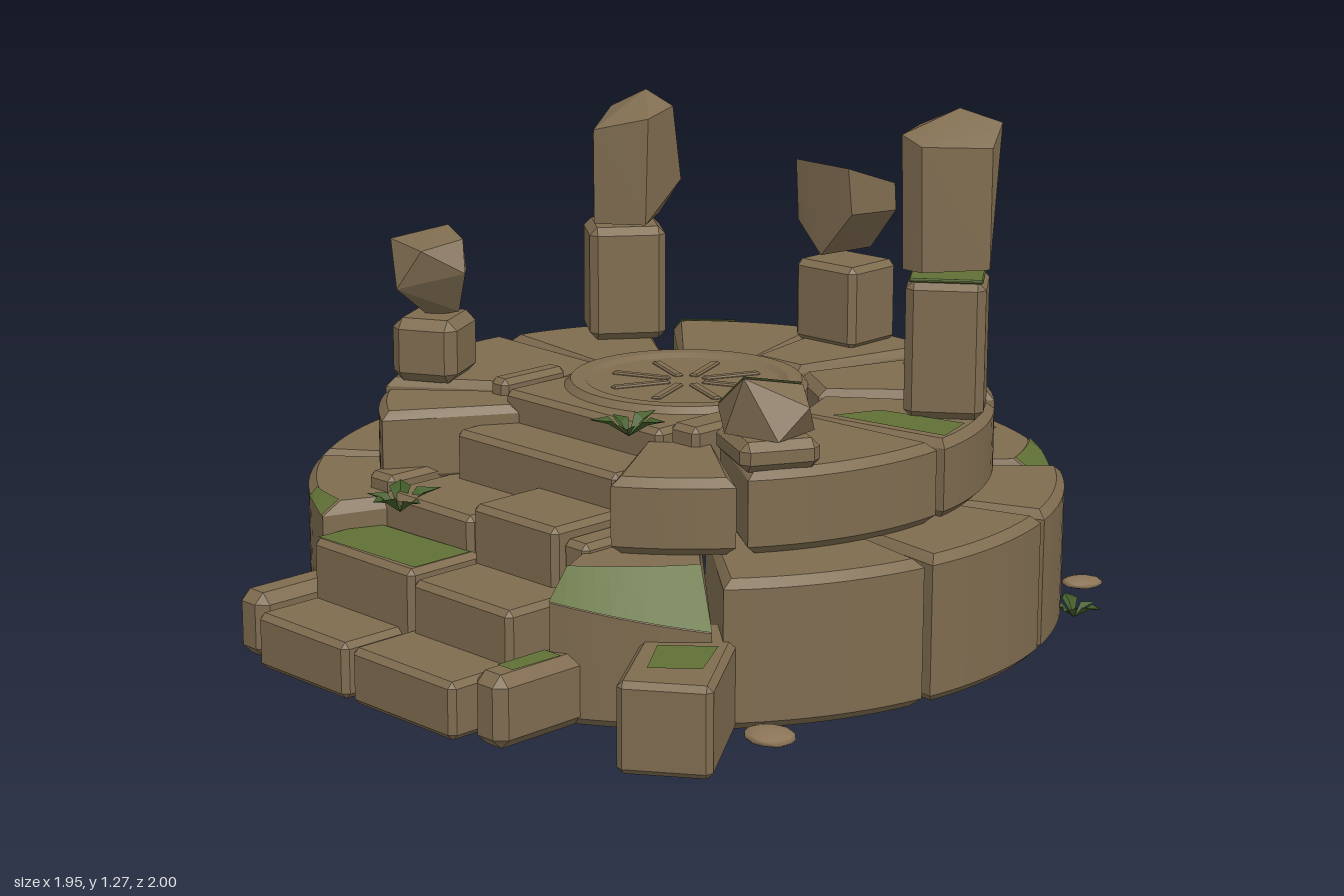
import * as THREE from 'three';
import { toCreasedNormals } from 'three/addons/utils/BufferGeometryUtils.js';
import { ConvexGeometry } from 'three/addons/geometries/ConvexGeometry.js';

const CX = 0.04, CZ = -0.07; // centre of the round platform
const material = (name, color, side = THREE.FrontSide) => {
  const m = new THREE.MeshStandardMaterial({ color, side });
  m.name = name;
  return m;
};
const V = (x, y, z) => new THREE.Vector3(x, y, z);
const polar = (deg, r, y) => {
  const a = THREE.MathUtils.degToRad(deg);
  return V(CX + r * Math.cos(a), y, CZ - r * Math.sin(a));
};

export function createModel() {
  const root = new THREE.Group();
  root.name = 'ruinedStonePlatform';
  const stone = material('stone', 0x7f6c50);
  const pebbleStone = material('pebbleStone', 0x8c7557);
  const moss = material('moss', 0x607036, THREE.DoubleSide);
  const leaf = material('leaf', 0x445e2b, THREE.DoubleSide);

  const add = (name, geo, mat = stone, parent = root) => {
    const m = new THREE.Mesh(geo, mat);
    m.name = name;
    parent.add(m);
    return m;
  };
  const hull = (pts) => toCreasedNormals(new ConvexGeometry(pts), 0.3);
  const rock = (name, pts) => add(name, hull(pts.map((p) => V(...p))));

  // Box with chamfered edges, resting on y
  const box = (name, x, y, z, w, h, d, rot = 0, b = 0.014, mat = stone) => {
    const pts = [];
    for (const i of [-1, 1]) for (const j of [-1, 1]) for (const k of [-1, 1]) {
      const X = i * w / 2, Y = j * h / 2, Z = k * d / 2;
      pts.push(V(X, Y - j * b, Z - k * b), V(X - i * b, Y, Z - k * b), V(X - i * b, Y - j * b, Z));
    }
    const m = add(name, hull(pts), mat);
    m.position.set(x, y + h / 2, z);
    m.rotation.y = THREE.MathUtils.degToRad(rot);
  };

  // Box given by its limits
  const span = (name, x0, x1, y0, y1, z0, z1, b = 0.014) =>
    box(name, (x0 + x1) / 2, y0, (z0 + z1) / 2, x1 - x0, y1 - y0, z1 - z0, 0, b);

  // Thin moss sheet between two edges with the same number of points
  const sheet = (name, a, b) => {
    const pts = [];
    for (let i = 0; i < a.length - 1; i++) pts.push(a[i], b[i], b[i + 1], a[i], b[i + 1], a[i + 1]);
    const g = new THREE.BufferGeometry().setFromPoints(pts);
    g.computeVertexNormals();
    add(name, g, moss);
  };
  const patch = (name, p, q, r, s) => sheet(name, [V(...p), V(...q)], [V(...s), V(...r)]);

  // Ring block; cut = [start, end, depth at start, depth at end, radial, drop] is a mossy chamfer
  const wedge = (name, a0, a1, r0, r1, y0, y1, cut) => {
    const b = 0.02, n = 10, pts = [], top = [], low = [];
    for (let i = 0; i <= n; i++) {
      const t = i / n, a = a0 + (a1 - a0) * t;
      const ia = a + (0.5 - t) * 2 * (b / r1) * 57.3;
      let f = 0;
      if (cut && a >= cut[0] - 0.01 && a <= cut[1] + 0.01) {
        f = THREE.MathUtils.lerp(cut[2], cut[3], (a - cut[0]) / (cut[1] - cut[0]));
      }
      const rt = Math.min(r1 - b, r1 - f * (cut ? cut[4] : 0));
      const yl = Math.min(y1 - b, y1 - f * (cut ? cut[5] : 0));
      pts.push(polar(a, r0, y0 + b), polar(a, r1, y0 + b), polar(ia, r0 + b, y0), polar(ia, r1 - b, y0));
      pts.push(polar(a, r0, y1 - b), polar(a, r1, yl), polar(ia, r0 + b, y1), polar(ia, rt, y1));
      if (f > 0) {
        top.push(polar(ia, rt + 0.004, y1 + 0.004));
        low.push(polar(a, r1 + 0.004, yl + 0.004));
      }
    }
    add(name, hull(pts));
    if (cut) sheet(name + 'Moss', top, low);
  };

  // Lower ring
  [
    [76.5, 103.5, [76.5, 103.5, 1, 1, 0.07, 0.08]], [105.5, 132], [134, 161.5], [163, 189], [190.5, 217],
    [218.5, 247, [238, 247, 0.3, 1, 0.05, 0.03]], [48.5, 75, [48.5, 62, 1, 0.1, 0.11, 0.09]], [20, 46.5],
    [-8.5, 18.5], [-40, -10], [-64, -41.5, [-64, -41.5, 0.55, 1, 0.12, 0.12]],
  ].forEach(([a, b, cut]) => wedge('lowerRingBlock', a, b, 0.51, a === 76.5 ? 0.917 : 0.93, 0, 0.35, cut));

  // Upper ring
  [
    [76.5, 103.5, 0.56], [106, 137.5, 0.545, [122, 137.5, 0.2, 1, 0.025, 0.03]], [143, 173, 0.54], [175.5, 217.5, 0.545],
    [219.5, 239, 0.53], [41.5, 73.5, 0.55], [7.5, 38.5, 0.54], [-34.5, 5, 0.545], [-58, -36.5, 0.53],
  ].forEach(([a, b, y, cut]) => wedge('upperRingBlock', a, b, a > 217 || a < -35 ? 0.42 : 0.325, 0.755, 0.35, y, cut));

  // Central round plate with rim and spokes
  const profile = [[0, 0.42], [0.28, 0.42], [0.3, 0.44], [0.3, 0.56], [0.285, 0.576], [0.25, 0.576], [0.235, 0.566],
    [0, 0.566]].map(([x, y]) => new THREE.Vector2(x, y));
  add('centrePlate', toCreasedNormals(new THREE.LatheGeometry(profile, 48), 0.4)).position.set(CX, 0, CZ);
  for (let i = 0; i < 8; i++) {
    const a = 22.5 + i * 45, p = polar(a, 0.12, 0.562);
    box('plateSpoke', p.x, p.y, p.z, 0.15, 0.01, 0.024, a, 0.004);
  }

  // Stairs, each row running in under the next
  [
    [-0.31, 0.015, 0, 0.135, 0.7, 1], [0.035, 0.385, 0, 0.135, 0.7, 1],
    [-0.31, 0.05, 0.1, 0.28, 0.54, 0.83], [0.05, 0.385, 0.1, 0.26, 0.54, 0.83],
    [-0.28, 0.04, 0.21, 0.365, 0.34, 0.64], [0.045, 0.33, 0.21, 0.4, 0.34, 0.64],
    [-0.24, 0.32, 0.3, 0.485, 0.14, 0.44], [-0.23, 0.31, 0.38, 0.56, 0.03, 0.29],
  ].forEach((s) => span('stairBlock', ...s));
  patch('stairMoss', [-0.3, 0.283, 0.65], [0.04, 0.283, 0.64], [0.04, 0.283, 0.81], [-0.3, 0.283, 0.82]);

  // Curb stones beside the stairs
  span('curbStone', -0.43, -0.33, 0, 0.16, 0.7, 0.97, 0.025);
  span('curbStone', 0.41, 0.51, 0, 0.17, 0.7, 0.97, 0.025);
  patch('curbMoss', [0.435, 0.173, 0.77], [0.49, 0.173, 0.77], [0.485, 0.173, 0.91], [0.435, 0.173, 0.91]);
  span('curbStone', -0.32, -0.26, 0.4, 0.57, 0.05, 0.26);
  span('curbStone', 0.31, 0.4, 0.4, 0.575, 0.04, 0.26);
  span('curbStone', -0.37, -0.28, 0.2, 0.39, 0.38, 0.61);
  span('curbStone', 0.32, 0.4, 0.2, 0.37, 0.38, 0.61);

  // Fallen slab at the front corner
  box('fallenSlab', 0.735, 0, 0.64, 0.21, 0.21, 0.43, 35);
  patch('slabMoss', [0.67, 0.213, 0.65], [0.77, 0.213, 0.56], [0.85, 0.213, 0.69], [0.76, 0.213, 0.77]);

  // Back right pillar, the tallest
  box('pillarBase', 0.605, 0.54, -0.385, 0.19, 0.335, 0.2, 37, 0.02);
  box('pillarMoss', 0.605, 0.872, -0.385, 0.175, 0.0095, 0.185, 37, 0.003, moss);
  rock('pillarTop', [
    [0.48, 0.9, -0.4], [0.58, 0.9, -0.51], [0.72, 0.9, -0.4], [0.63, 0.9, -0.26], [0.47, 1.12, -0.39],
    [0.53, 1.23, -0.36], [0.6, 1.27, -0.42], [0.69, 1.24, -0.47], [0.58, 1.2, -0.51], [0.72, 1.19, -0.4],
    [0.63, 1.2, -0.25], [0.57, 0.9, -0.26], [0.56, 1.22, -0.26],
  ]);
  patch('upperRingMoss', [0.51, 0.546, -0.26], [0.73, 0.546, -0.31], [0.77, 0.546, -0.19], [0.46, 0.546, -0.14]);

  // Back left pillar
  box('pillarBase', -0.51, 0.54, -0.39, 0.18, 0.3, 0.2, -37, 0.02);
  rock('pillarTop', [
    [-0.62, 0.86, -0.41], [-0.51, 0.85, -0.28], [-0.4, 0.85, -0.36], [-0.5, 0.85, -0.51], [-0.64, 1.0, -0.4],
    [-0.57, 1.14, -0.4], [-0.48, 1.19, -0.44], [-0.41, 1.15, -0.47], [-0.39, 1.13, -0.36], [-0.5, 1.1, -0.27],
    [-0.63, 1.06, -0.39], [-0.42, 0.95, -0.51],
  ]);

  // Back pillar with a broken floating top
  box('pillarBase', -0.01, 0.555, -0.705, 0.2, 0.215, 0.18, 2, 0.016);
  rock('pillarTop', [
    [-0.11, 1.03, -0.62], [0.08, 1.03, -0.61], [0.08, 0.97, -0.79], [-0.1, 0.98, -0.79], [0.085, 0.91, -0.62],
    [-0.11, 0.87, -0.63], [-0.02, 0.79, -0.62], [-0.05, 0.8, -0.79], [0.0, 0.79, -0.79], [0.085, 0.9, -0.79],
  ]);

  // Front left pillar
  box('pillarBase', -0.51, 0.54, 0.27, 0.17, 0.16, 0.18, 28, 0.025);
  rock('pillarTop', [
    [-0.53, 0.69, 0.27], [-0.45, 0.71, 0.24], [-0.62, 0.8, 0.27], [-0.51, 0.78, 0.39], [-0.39, 0.82, 0.27],
    [-0.5, 0.8, 0.17], [-0.59, 0.89, 0.34], [-0.51, 0.92, 0.22], [-0.42, 0.9, 0.25], [-0.45, 0.88, 0.36],
  ]);

  // Front right stump with a loose rock, mossy on its sloping back
  box('pillarBase', 0.61, 0.54, 0.24, 0.21, 0.07, 0.19, -28, 0.02);
  rock('looseRock', [
    [0.5, 0.61, 0.22], [0.56, 0.61, 0.33], [0.7, 0.61, 0.3], [0.68, 0.61, 0.16], [0.56, 0.61, 0.15],
    [0.49, 0.655, 0.28], [0.61, 0.745, 0.32], [0.67, 0.72, 0.19], [0.55, 0.63, 0.15], [0.72, 0.68, 0.22],
  ]);
  patch('rockMoss', [0.49, 0.66, 0.28], [0.61, 0.75, 0.32], [0.67, 0.725, 0.19], [0.55, 0.635, 0.15]);

  // Low rubble on the upper ring
  rock('rubble', [[0.25, 0.545, -0.63], [0.34, 0.545, -0.57], [0.44, 0.545, -0.64], [0.36, 0.545, -0.73],
    [0.33, 0.63, -0.66], [0.39, 0.63, -0.63], [0.41, 0.6, -0.68]]);

  // Flat pebbles on the ground
  [[-0.69, -0.73, 0.065], [0.67, -0.86, 0.053], [-0.84, 0.36, 0.06], [0.87, 0.5, 0.065]].forEach(([x, z, r], i) => {
    const m = add('pebble', new THREE.IcosahedronGeometry(r, 1), pebbleStone);
    m.scale.set(1, 0.26, 0.85);
    m.position.set(x, r * 0.26, z);
    m.rotation.y = i;
  });

  // Small plants with folded leaves
  const leafGeo = new THREE.BufferGeometry();
  leafGeo.setAttribute('position', new THREE.Float32BufferAttribute(
    [0, 0, 0, -0.026, 0.05, 0.05, 0, 0.036, 0.055, 0.026, 0.05, 0.05, 0, 0.05, 0.105], 3));
  leafGeo.setIndex([0, 1, 2, 0, 2, 3, 1, 4, 2, 2, 4, 3]);
  const leafShape = toCreasedNormals(leafGeo, 0.1);
  [
    [-0.36, 0.02, -0.94, 0.7], [0.34, 0.34, -0.82, 0.7], [0.84, 0.02, -0.61, 0.75], [-0.91, 0.03, 0.07, 0.7],
    [0.23, 0.535, 0.31, 0.9], [-0.2, 0.33, 0.65, 1],
  ].forEach(([x, y, z, s], i) => {
    const plant = new THREE.Group();
    plant.name = 'plant';
    for (let k = 0; k < 5; k++) {
      const l = add('leaf', leafShape, leaf, plant);
      l.rotation.y = k * 1.257 + i * 0.8;
      l.scale.setScalar(k % 2 ? 0.8 : 1);
    }
    plant.position.set(x, y, z);
    plant.scale.setScalar(s);
    root.add(plant);
  });
  return root;
}
